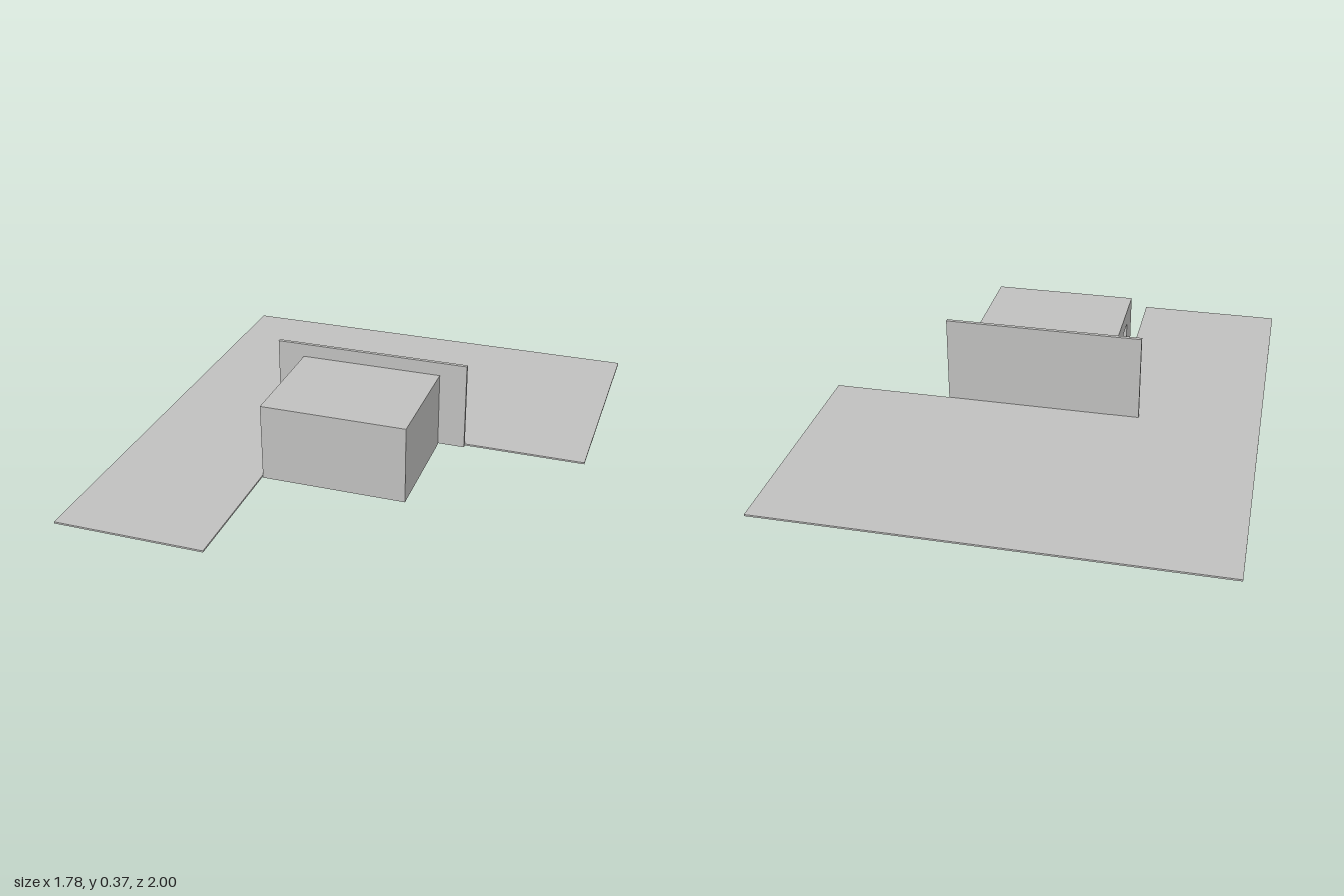
import * as THREE from 'three';

export function createModel() {
  const root = new THREE.Group();
  const concrete = new THREE.MeshStandardMaterial({ color: 0xc0c0be });
  concrete.name = 'concrete grey';

  // Box given by its lower and upper bounds on each axis
  function slab(name, [x0, x1], [y0, y1], [z0, z1], parent = root) {
    const mesh = new THREE.Mesh(new THREE.BoxGeometry(x1 - x0, y1 - y0, z1 - z0), concrete);
    mesh.position.set((x0 + x1) / 2, (y0 + y1) / 2, (z0 + z1) / 2);
    mesh.name = name;
    parent.add(mesh);
  }

  // L-shaped paving in two slabs
  slab('rearPaving', [-0.89, 0.89], [0.006, 0.013], [-1, -0.035]);
  slab('sidePaving', [-0.89, -0.29], [0.006, 0.013], [-0.035, 1]);

  // Tall screen wall behind the room
  slab('screenWall', [-0.4, 0.4], [0.006, 0.37], [-0.034, -0.019]);

  // Hollow room
  const room = new THREE.Group();
  room.name = 'room';
  root.add(room);
  const t = 0.015, X = 0.29, H = 0.315, Z0 = -0.019, Z1 = 0.45;
  slab('floor', [-X + t, X - t], [0, t], [Z0, Z1 - t], room);
  slab('roof', [-X + t, X - t], [H - t, H], [Z0, Z1 - t], room);
  slab('frontWall', [-X + t, X - t], [0, H], [Z1 - t, Z1], room);
  slab('leftWall', [X - t, X], [0, H], [Z0, Z1], room);

  // Right wall, pierced by a window of two panes with a mullion between
  const rect = (Type, a, b, c, d) => new Type([[a, c], [b, c], [b, d], [a, d]]
    .map(([z, y]) => new THREE.Vector2(z, y)));
  const outline = rect(THREE.Shape, Z0, Z1, 0, H);
  for (const [a, b] of [[0.12, 0.222], [0.234, 0.328]]) {
    outline.holes.push(rect(THREE.Path, a, b, 0.12, 0.25));
  }
  const wallGeometry = new THREE.ExtrudeGeometry(outline, { depth: t, bevelEnabled: false });
  wallGeometry.rotateY(-Math.PI / 2); // shape x becomes z, depth runs to -x
  const windowWall = new THREE.Mesh(wallGeometry, concrete);
  windowWall.position.x = -X + t;
  windowWall.name = 'windowWall';
  room.add(windowWall);

  return root;
}
